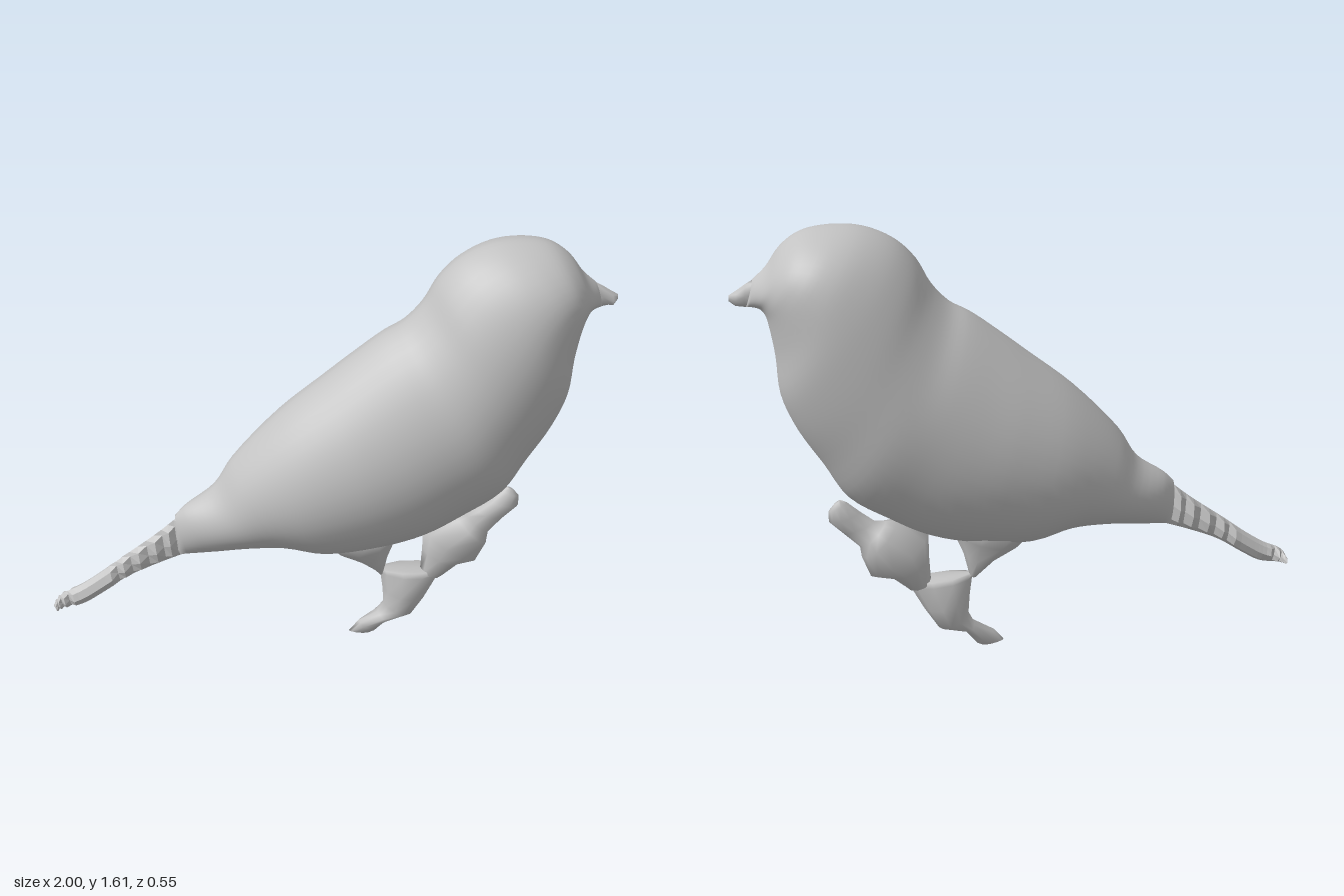
import * as THREE from 'three';

// Each section: [upper x, upper y, lower x, lower y, half width]
const BODY = [
  [-.54, .6, -.53, .43, .035], [-.5, .64, -.42, .44, .08], [-.4, .71, -.28, .455, .13],
  [-.33, .82, -.14, .452, .175], [-.16, 1, 0, .415, .235], [0, 1.13, .2, .43, .265],
  [.1, 1.21, .36, .47, .273], [.2, 1.285, .5, .545, .275], [.27, 1.325, .64, .64, .275],
  [.33, 1.39, .72, .77, .27], [.38, 1.48, .8, .9, .265], [.45, 1.55, .85, 1.03, .255],
  [.55, 1.595, .86, 1.17, .235], [.65, 1.605, .875, 1.27, .205], [.75, 1.59, .885, 1.31, .165],
  [.82, 1.545, .9, 1.332, .115], [.87, 1.48, .92, 1.34, .07], [.92, 1.435, .945, 1.343, .03],
];
const BEAK = [
  [.9, 1.445, .92, 1.34, .04], [.945, 1.42, .95, 1.343, .014], [.975, 1.4, .98, 1.348, .035],
  [1, 1.385, 1, 1.365, .004],
];
const FOOT = [
  [.09, .015, .17, 0, .012], [.125, .06, .19, .01, .025], [.2, .1, .235, .07, .05],
  [.22, .14, .33, .09, .055], [.215, .21, .38, .17, .07], [.205, .285, .43, .265, .055],
  [.2, .3, .44, .285, .045],
];
const REAR_LEG = [
  [.19, .3, .215, .295, .04], [.12, .355, .235, .38, .075], [.03, .4, .27, .465, .1],
  [-.08, .5, .3, .56, .14],
];
const FRONT_LEG = [
  [.355, .285, .44, .26, .05], [.36, .38, .5, .31, .07], [.36, .47, .57, .32, .085],
  [.47, .53, .6, .4, .085], [.51, .53, .605, .44, .05], [.55, .535, .66, .495, .03],
  [.6, .575, .71, .545, .036], [.645, .615, .71, .585, .022], [.665, .625, .69, .61, .008],
];

// Smoothly add sections between the given ones
function refine(sections, steps) {
  const upper = new THREE.CatmullRomCurve3(sections.map(s => new THREE.Vector3(s[0], s[1], s[4])));
  const lower = new THREE.CatmullRomCurve3(sections.map(s => new THREE.Vector3(s[2], s[3], 0)));
  const n = (sections.length - 1) * steps;
  return Array.from({ length: n + 1 }, (_, i) => {
    const a = upper.getPoint(i / n), b = lower.getPoint(i / n);
    return [a.x, a.y, b.x, b.y, a.z];
  });
}

// Skin closed, slightly ridged cross-sections and cap both ends
function loft(sections, sides, faceted = false) {
  const pos = [], index = [];
  for (const [ax, ay, bx, by, w] of sections) {
    for (let j = 0; j < sides; j++) {
      const t = j / sides * Math.PI * 2, u = (1 + Math.cos(t)) / 2, s = Math.sin(t);
      pos.push(bx + (ax - bx) * u, by + (ay - by) * u, w * Math.sign(s) * Math.abs(s) ** 1.25);
    }
  }
  const last = (sections.length - 1) * sides;
  for (let i = 0; i < last; i += sides) {
    for (let j = 0; j < sides; j++) {
      const k = (j + 1) % sides;
      index.push(i + j, i + k, i + sides + k, i + j, i + sides + k, i + sides + j);
    }
  }
  for (let j = 1; j < sides - 1; j++) {
    index.push(0, j + 1, j, last, last + j, last + j + 1);
  }
  let geo = new THREE.BufferGeometry();
  geo.setAttribute('position', new THREE.Float32BufferAttribute(pos, 3));
  geo.setIndex(index);
  if (faceted) geo = geo.toNonIndexed();
  geo.computeVertexNormals();
  return geo;
}

// Tail: tapering outline with a row of small beaded ridges
function tailSections() {
  const outline = new THREE.CatmullRomCurve3([
    [-1, .24, .225], [-.97, .285, .232], [-.9, .32, .245], [-.83, .365, .285],
    [-.73, .44, .35], [-.6, .535, .405], [-.5, .62, .44],
  ].map(p => new THREE.Vector3(...p)));
  const out = [];
  for (let i = 0; i <= 26; i++) {
    const p = outline.getPoint(i / 26);
    const smoothTip = p.x > -.92 && p.x < -.8;
    const w = i === 0 ? .004 : smoothTip ? .034 : i % 2 ? .036 : .014;
    out.push([p.x, p.y, p.x + .012, p.z, w]);
  }
  return out;
}

export function createModel() {
  const group = new THREE.Group();
  const grey = new THREE.MeshStandardMaterial({ color: 0xc2c2c2 });
  grey.name = 'plainGrey';
  const add = (name, geometry) => {
    const mesh = new THREE.Mesh(geometry, grey);
    mesh.name = name;
    group.add(mesh);
  };
  add('body', loft(refine(BODY, 4), 40));
  add('beak', loft(BEAK, 8));
  add('tail', loft(tailSections(), 8, true));
  add('foot', loft(FOOT, 10));
  add('rearLeg', loft(REAR_LEG, 10));
  add('frontLeg', loft(FRONT_LEG, 10));
  return group;
}
